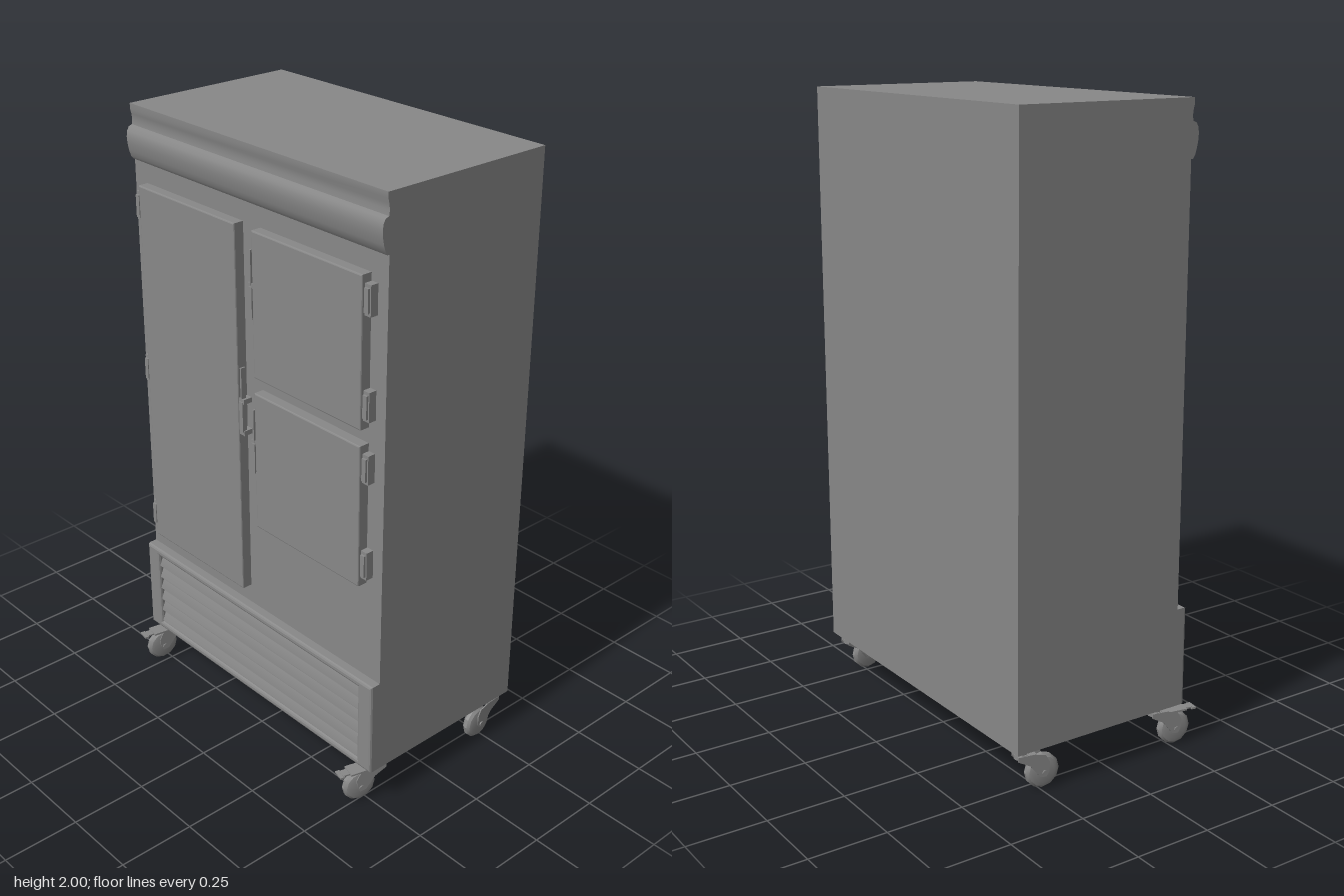
import * as THREE from 'three';
import { toCreasedNormals } from 'three/addons/utils/BufferGeometryUtils.js';

const material = new THREE.MeshStandardMaterial({ color: 0x888888 });
const W = 1.12;        // cabinet width
const FLOOR = 0.141;   // underside of the cabinet
const FACE = 0.25;     // front plane of the cabinet
const FRONT = 0.285;   // front plane of doors and base

function add(parent, name, geometry, x = 0, y = 0, z = 0) {
  const mesh = new THREE.Mesh(geometry, material);
  mesh.name = name;
  mesh.position.set(x, y, z);
  parent.add(mesh);
  return mesh;
}

// Box given by its limits on each axis
function box(parent, name, x0, x1, y0, y1, z0, z1) {
  return add(parent, name, new THREE.BoxGeometry(x1 - x0, y1 - y0, z1 - z0),
    (x0 + x1) / 2, (y0 + y1) / 2, (z0 + z1) / 2);
}

// Side profile of [z, y] points, swept along x and centred
function sweepX(points, length) {
  const shape = new THREE.Shape(points.map(p => new THREE.Vector2(...p)));
  const g = new THREE.ExtrudeGeometry(shape, { depth: length, bevelEnabled: false });
  g.rotateY(-Math.PI / 2).translate(length / 2, 0, 0);
  return toCreasedNormals(g, 0.6);
}

function rect(Type, x0, x1, y0, y1) {
  return new Type([[x0, y0], [x1, y0], [x1, y1], [x0, y1]].map(p => new THREE.Vector2(...p)));
}

// Slab standing on the cabinet face with softened front edges
function slab(parent, name, shape, b) {
  const g = new THREE.ExtrudeGeometry(shape, {
    depth: FRONT - FACE - b, bevelSize: b, bevelThickness: b, bevelSegments: 2,
  });
  add(parent, name, toCreasedNormals(g, 0.2), 0, 0, FACE);
}

function door(parent, name, x0, x1, y0, y1) {
  const b = 0.004;
  slab(parent, name, rect(THREE.Shape, x0 + b, x1 - b, y0 + b, y1 - b), b);
}

// Hinge: cover block with a raised knuckle strip
function hinge(parent, x, y) {
  const g = new THREE.Group();
  g.name = 'hinge';
  box(g, 'hingeLeaf', x - 0.012, x + 0.012, y - 0.046, y + 0.046, FACE, 0.276);
  box(g, 'hingeKnuckle', x - 0.008, x + 0.008, y - 0.036, y + 0.036, 0.272, 0.283);
  parent.add(g);
}

// Latch handle: two mounts, a grip between them and a thin lever above
function handle(parent, x, y) {
  const g = new THREE.Group();
  g.name = 'handle';
  box(g, 'lowerMount', x - 0.012, x + 0.012, y - 0.004, y + 0.012, FACE, 0.281);
  box(g, 'upperMount', x - 0.012, x + 0.012, y + 0.102, y + 0.118, FACE, 0.281);
  box(g, 'grip', x - 0.008, x + 0.008, y + 0.008, y + 0.108, 0.268, 0.284);
  box(g, 'lever', x - 0.003, x + 0.003, y + 0.112, y + 0.22, 0.266, 0.282);
  parent.add(g);
}

// Swivel caster, trailing along its own +z
function caster(parent, x, z, yaw, brake) {
  const g = new THREE.Group();
  g.name = 'caster';
  g.position.set(x, 0, z);
  g.rotation.y = yaw;
  const trail = 0.067, r = 0.055;
  add(g, 'stem', new THREE.CylinderGeometry(0.018, 0.018, 0.03, 12), 0, 0.128, 0);
  add(g, 'swivel', new THREE.CylinderGeometry(0.023, 0.023, 0.014, 12), 0, 0.115, 0);
  // Faceted tread with rounded shoulders
  const tread = [[0, -0.017], [0.036, -0.017], [0.047, -0.014], [r, -0.006],
    [r, 0.006], [0.047, 0.014], [0.036, 0.017], [0, 0.017]];
  const wheel = new THREE.LatheGeometry(tread.map(p => new THREE.Vector2(...p)), 12);
  wheel.rotateZ(Math.PI / 2);
  add(g, 'wheel', toCreasedNormals(wheel, 0.45), 0, r, trail);
  const axle = new THREE.CylinderGeometry(0.009, 0.009, 0.056, 8).rotateZ(Math.PI / 2);
  add(g, 'axle', axle, 0, r, trail);
  // Fork cheeks and the crown joining them
  const cheek = [[-0.02, 0.121], [-0.02, 0.107], [0.02, 0.085], [0.052, 0.044], [0.072, 0.041],
    [0.082, 0.056], [0.084, 0.086], [0.07, 0.112], [0.03, 0.121]];
  for (const s of [-1, 1]) add(g, 'forkCheek', sweepX(cheek, 0.004), s * 0.022, 0, 0);
  box(g, 'forkCrown', -0.022, 0.022, 0.113, 0.121, -0.02, 0.04);
  // Brake pedal: broad plate, narrow neck and a flared toe
  if (brake) {
    box(g, 'brakePlate', -0.024, 0.024, 0.111, 0.117, 0.03, 0.104);
    box(g, 'brakeNeck', -0.014, 0.014, 0.11, 0.115, 0.1, 0.128);
    box(g, 'brakeToe', -0.019, 0.019, 0.108, 0.114, 0.124, 0.139);
  }
  parent.add(g);
}

export function createModel() {
  const model = new THREE.Group();
  model.name = 'refrigerator';

  box(model, 'cabinet', -W / 2, W / 2, FLOOR, 2, -0.345, FACE);

  // Top fascia: slim strip above a rounded bulge
  add(model, 'fascia', sweepX([
    [0.24, 2], [0.24, 1.828], [0.257, 1.828], [0.264, 1.838], [0.27, 1.857], [0.2745, 1.88],
    [0.276, 1.9], [0.273, 1.918], [0.266, 1.93], [0.254, 1.934], [0.252, 1.95],
    [0.254, 1.967], [0.258, 1.982], [0.258, 2],
  ], W));

  // Base panel with a grille opening
  const b = 0.008;
  const panel = rect(THREE.Shape, -W / 2 + b, W / 2 - b, FLOOR + b, 0.462 - b);
  panel.holes.push(rect(THREE.Path, -0.5 - b, 0.5 + b, 0.165 - b, 0.437 + b));
  slab(model, 'basePanel', panel, b);

  // Sloping louvres
  const slats = 6, pitch = 0.272 / slats;
  for (let i = 0; i < slats; i++) {
    const y = 0.165 + i * pitch;
    add(model, 'louvre', sweepX([
      [0.245, y], [0.272, y + 0.001], [0.28, y + 0.003], [0.28, y + 0.006],
      [0.264, y + pitch], [0.245, y + pitch],
    ], 1));
  }

  // Doors with their hinges and handles
  door(model, 'tallDoor', -0.5, -0.04, 0.527, 1.762);
  door(model, 'upperDoor', 0.037, 0.495, 1.302, 1.762);
  door(model, 'lowerDoor', 0.037, 0.495, 0.792, 1.252);
  for (const y of [0.602, 1.142, 1.692]) hinge(model, -0.512, y);
  for (const y of [0.867, 1.182, 1.378, 1.692]) hinge(model, 0.509, y);
  handle(model, -0.029, 1.09);
  handle(model, 0.025, 1.48);
  handle(model, 0.025, 0.97);

  // Casters, each swivelled a little differently
  caster(model, -0.517, 0.205, -0.17, true);
  caster(model, 0.512, 0.205, -0.27, true);
  caster(model, -0.517, -0.303, -0.15, false);
  caster(model, 0.52, -0.303, 0.05, false);
  return model;
}
